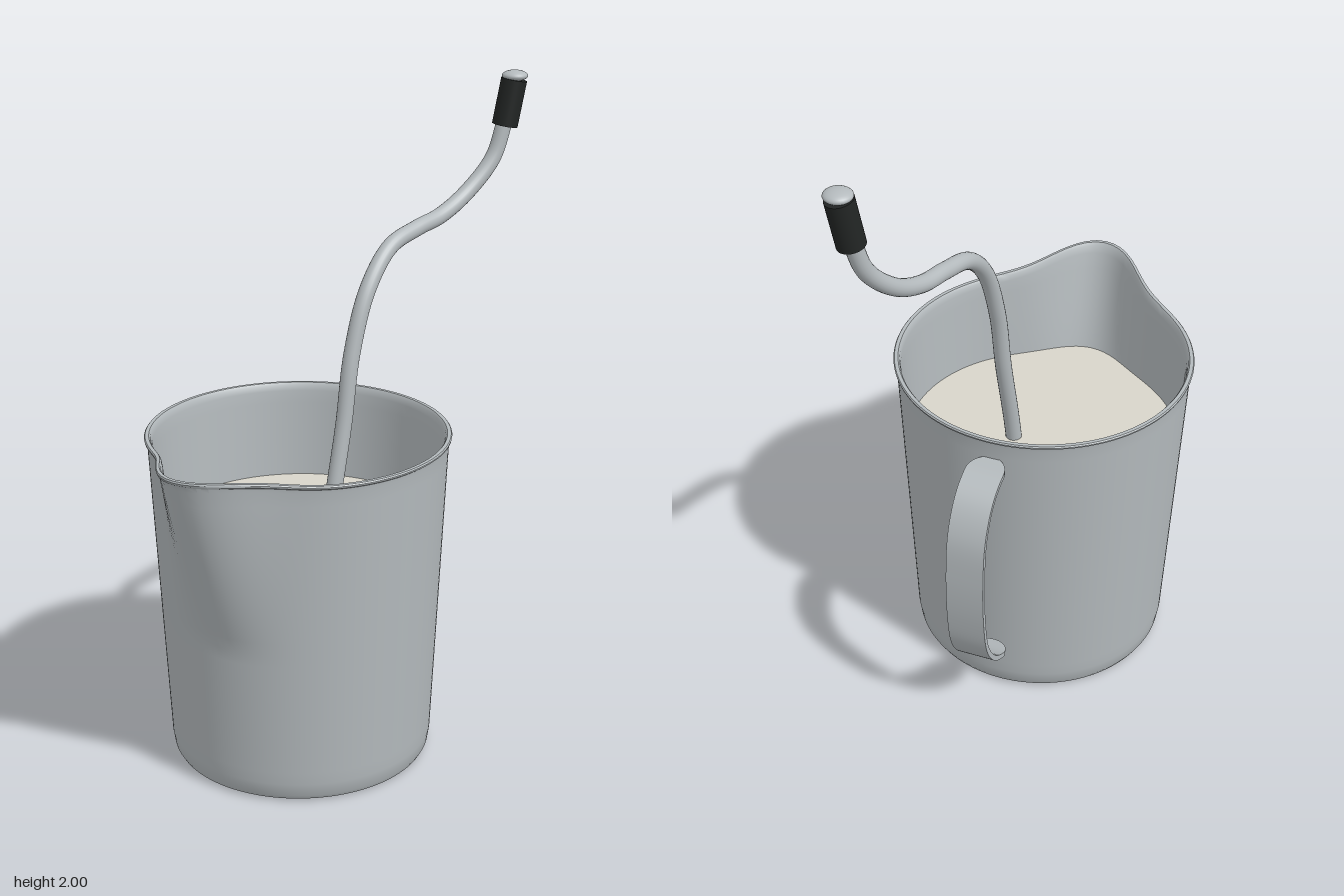
import * as THREE from 'three';
import { toCreasedNormals } from 'three/addons/utils/BufferGeometryUtils.js';

const steel = new THREE.MeshStandardMaterial({ color: 0xb4babd });
const black = new THREE.MeshStandardMaterial({ color: 0x222524 });
const cream = new THREE.MeshStandardMaterial({ color: 0xd8d5ca, side: THREE.DoubleSide });

const SPOUT_START = 0.49, RIM = 1.025;
const JUG_X = -0.17, JUG_Z = 0.025;

function part(name, geometry, material) {
  const mesh = new THREE.Mesh(geometry, material);
  mesh.name = name;
  return mesh;
}

// Turned shape whose upper wall is pulled out into a spout towards (-x, +z)
function spoutedLathe(profile) {
  const geo = new THREE.LatheGeometry(profile.map(([r, y]) => new THREE.Vector2(r, y)), 128);
  const pos = geo.attributes.position;
  for (let i = 0; i < pos.count; i++) {
    const x = pos.getX(i), y = pos.getY(i), z = pos.getZ(i);
    const r = Math.hypot(x, z);
    const t = (y - SPOUT_START) / (RIM - SPOUT_START);
    if (t <= 0 || r < 0.1) continue;
    const cos = (z - x) / (r * Math.SQRT2);
    const deg = THREE.MathUtils.radToDeg(Math.acos(THREE.MathUtils.clamp(cos, -1, 1)));
    const k = 1 + 0.15 * Math.pow(t, 1.1) * Math.exp(-((deg / 17.5) ** 2)) / r;
    pos.setXYZ(i, x * k, y + 0.042 * t ** 4 * Math.exp(-((deg / 25) ** 2)), z * k);
  }
  return toCreasedNormals(geo, 0.6);
}

const wallRadius = (y) => 0.402 + 0.046 * (y - 0.06) / 0.96;

function jugProfile() {
  const outer = [], inner = [], rows = 24;
  for (let i = 0; i <= rows; i++) {
    const y = 0.06 + (1.0 - 0.06) * i / rows;
    outer.push([wallRadius(y), y]);
    inner.unshift([wallRadius(y) - 0.013, y]);
  }
  return [
    [0.335, 0.015], [0.335, 0], [0.375, 0], [0.388, 0.006], [0.396, 0.02],
    ...outer,
    [0.449, 1.012], [0.455, 1.016], [0.456, 1.021], [0.453, RIM], [0.442, RIM], [0.437, 1.018],
    ...inner,
    [0.375, 0.025], [0.335, 0.015],
  ];
}

// Flat strip with rounded ends, swept along a path of (distance from jug axis, height)
function stripHandle() {
  const path = new THREE.CatmullRomCurve3([
    [0.437, 0.945], [0.52, 0.94], [0.59, 0.9], [0.643, 0.81], [0.662, 0.67],
    [0.657, 0.5], [0.632, 0.38], [0.575, 0.29], [0.505, 0.235], [0.43, 0.205],
  ].map(([r, y]) => new THREE.Vector3(r, y, 0)));
  const steps = 72, half = 0.0575, thick = 0.008, verts = [], index = [];
  const length = path.getLength();
  for (let i = 0; i <= steps; i++) {
    // Closer rows near the ends keep them round
    const u = 0.5 - 0.5 * Math.cos(Math.PI * i / steps);
    const p = path.getPointAt(u), t = path.getTangentAt(u);
    const fromEnd = Math.min(1, Math.min(u, 1 - u) * length / 0.07);
    const w = Math.max(0.003, half * Math.sqrt(1 - (1 - fromEnd) ** 2));
    const nx = -t.y * thick, ny = t.x * thick;
    verts.push(
      p.x + nx, p.y + ny, -w, p.x + nx, p.y + ny, w,
      p.x - nx, p.y - ny, w, p.x - nx, p.y - ny, -w);
    if (i === steps) continue;
    for (let k = 0; k < 4; k++) {
      const a = i * 4 + k, b = i * 4 + (k + 1) % 4;
      index.push(a, b, a + 4, b, b + 4, a + 4);
    }
  }
  const e = steps * 4;
  index.push(0, 2, 1, 0, 3, 2, e, e + 1, e + 2, e, e + 2, e + 3);
  const geo = new THREE.BufferGeometry();
  geo.setAttribute('position', new THREE.Float32BufferAttribute(verts, 3));
  geo.setIndex(index);
  return toCreasedNormals(geo, 0.7);
}

export function createModel() {
  const model = new THREE.Group();
  model.name = 'milkJugWithSteamWand';

  // Jug with its milk and handle
  const jug = new THREE.Group();
  jug.name = 'jug';
  jug.position.set(JUG_X, 0, JUG_Z);
  jug.add(part('jugBody', spoutedLathe(jugProfile()), steel));
  const level = 0.72;
  jug.add(part('milk', spoutedLathe([[wallRadius(level) - 0.011, level], [0, level]]), cream));
  const handle = part('handle', stripHandle(), steel);
  handle.material = steel.clone();
  handle.material.side = THREE.DoubleSide;
  handle.rotation.y = Math.PI / 4;
  jug.add(handle);
  model.add(jug);

  // Bent steam pipe
  const pipe = new THREE.CatmullRomCurve3([
    [-0.095, 0.62, 0.055], [-0.07, 0.8, 0.04], [-0.03, 1.03, 0.013], [0.0, 1.24, -0.01],
    [0.055, 1.42, -0.05], [0.14, 1.53, -0.12], [0.24, 1.565, -0.19], [0.33, 1.585, -0.25],
    [0.43, 1.64, -0.31], [0.52, 1.735, -0.345], [0.56, 1.85, -0.357],
  ].map((p) => new THREE.Vector3(...p)));
  model.add(part('steamPipe', new THREE.TubeGeometry(pipe, 96, 0.025, 20), steel));

  // Grip sleeve, tilted along the pipe's end
  const low = new THREE.Vector3(0.559, 1.832, -0.357), high = new THREE.Vector3(0.585, 1.972, -0.357);
  const axis = high.clone().sub(low);
  const sleeve = part('gripSleeve', new THREE.CylinderGeometry(0.04, 0.04, axis.length(), 32), black);
  sleeve.position.copy(low).add(high).multiplyScalar(0.5);
  sleeve.quaternion.setFromUnitVectors(new THREE.Vector3(0, 1, 0), axis.normalize());
  model.add(sleeve);

  // Flattened end button
  const button = part('endButton', new THREE.SphereGeometry(0.04, 32, 16), steel);
  button.scale.y = 0.42;
  button.position.set(0.587, 1.983, -0.357);
  model.add(button);

  return model;
}
